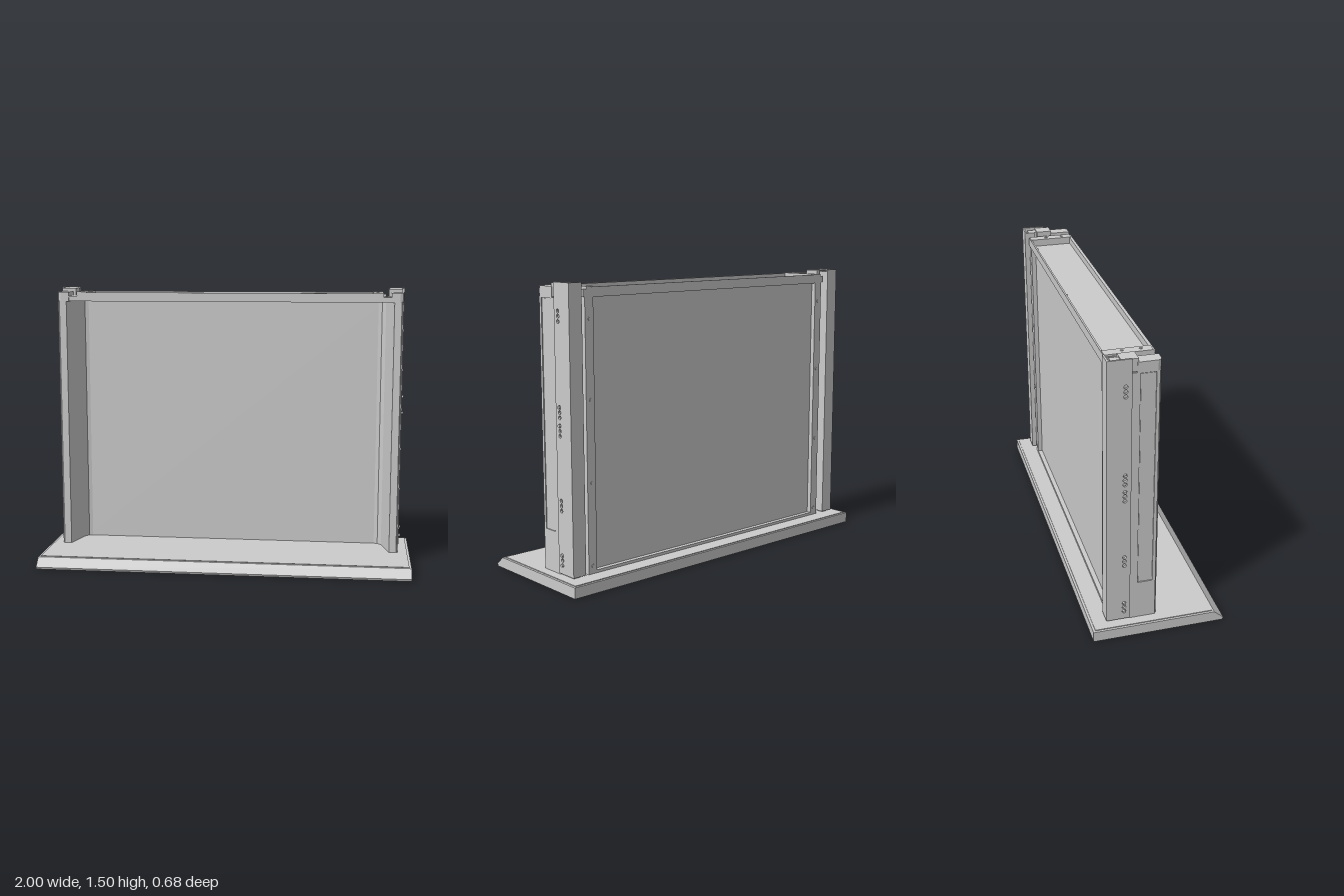
import * as THREE from 'three';

const material = new THREE.MeshStandardMaterial({ color: 0xcccccc });

// Box from its limits on each axis
function box(x0, x1, y0, y1, z0, z1) {
  return new THREE.BoxGeometry(x1 - x0, y1 - y0, z1 - z0)
    .translate((x0 + x1) / 2, (y0 + y1) / 2, (z0 + z1) / 2);
}

// Plan outline of [x, z] points, raised from y0 to y1
function plan(points, y0, y1) {
  const shape = new THREE.Shape(points.map(([x, z]) => new THREE.Vector2(x, -z)));
  return new THREE.ExtrudeGeometry(shape, { depth: y1 - y0, bevelEnabled: false })
    .rotateX(-Math.PI / 2).translate(0, y0, 0);
}

// Side outline in (z, y), extruded inward from x = outer
function side(shape, outer, thickness) {
  return new THREE.ExtrudeGeometry(shape, { depth: thickness, bevelEnabled: false, curveSegments: 8 })
    .rotateY(-Math.PI / 2).translate(outer, 0, 0);
}

function outline(points) {
  return new THREE.Shape(points.map(([a, b]) => new THREE.Vector2(a, b)));
}

function rect(z0, z1, y0, y1) {
  return outline([[z0, y0], [z1, y0], [z1, y1], [z0, y1]]);
}

// Mirrored copy across x with the winding put right
function mirrored(geometry) {
  const g = geometry.index ? geometry.toNonIndexed() : geometry.clone();
  g.scale(-1, 1, 1);
  for (const attribute of Object.values(g.attributes)) {
    const { array, itemSize: n } = attribute;
    for (let i = 0; i < array.length; i += 3 * n) {
      for (let k = 0; k < n; k++) {
        const keep = array[i + n + k];
        array[i + n + k] = array[i + 2 * n + k];
        array[i + 2 * n + k] = keep;
      }
    }
  }
  return g;
}

export function createModel() {
  const root = new THREE.Group();
  root.name = 'displayFrame';
  const add = (name, geometry) => {
    const mesh = new THREE.Mesh(geometry, material);
    mesh.name = name;
    root.add(mesh);
  };
  const pair = (name, geometry) => {
    add(name + 'Left', geometry);
    add(name + 'Right', mirrored(geometry));
  };

  // Base plate with sloped front edge and a thin raised deck
  add('base', side(outline([
    [-0.34, 0], [0.335, 0], [0.34, 0.012], [0.29, 0.056], [-0.34, 0.056],
  ]), 1, 2));
  add('baseDeck', box(-0.988, 0.988, 0.05, 0.06, -0.328, 0.28));

  // Back panel and its bottom rail
  add('backPanel', box(-0.845, 0.845, 0.056, 1.425, -0.215, -0.185));
  add('bottomRail', box(-0.79, 0.79, 0.056, 0.075, -0.24, -0.21));

  // Top channel: floor with front and back lips
  add('topFloor', box(-0.835, 0.835, 1.422, 1.435, -0.24, -0.004));
  add('topFrontLip', box(-0.83, 0.83, 1.422, 1.47, -0.016, 0));
  add('topBackLip', box(-0.83, 0.83, 1.422, 1.47, -0.243, -0.234));
  for (const x of [-0.72, 0, 0.72]) {
    add('topScrew', new THREE.CylinderGeometry(0.007, 0.007, 0.006, 12).translate(x, 1.437, -0.22));
  }

  // Pillars: slanted inner wall, front column and rear flange in one section
  pair('pillar', plan([
    [0.89, 0], [0.928, 0], [0.932, -0.004], [0.932, -0.14], [0.87, -0.14],
    [0.845, -0.2], [0.84, -0.24], [0.79, -0.24], [0.79, -0.19], [0.83, -0.18], [0.85, -0.155],
  ], 0.056, 1.425));

  // Outer skin framing a shallow recess
  const skin = rect(-0.14, -0.008, 0.06, 1.42);
  skin.holes.push(rect(-0.1, -0.024, 0.27, 1.415));
  pair('sideSkin', side(skin, 0.938, 0.008));
  pair('sideInset', box(0.93, 0.935, 0.275, 1.412, -0.097, -0.027));

  // Rear posts: drilled side plate, back plate, inner flange and core
  const plate = rect(-0.26, -0.14, 0.07, 1.495);
  const holes = [1.36, 1.335, 1.31, 0.9, 0.875, 0.85, 0.81, 0.785, 0.76,
    0.44, 0.415, 0.39, 0.165, 0.14, 0.115];
  for (const y of holes) {
    plate.holes.push(new THREE.Path().absarc(-0.17, y, 0.01, 0, Math.PI * 2, true));
  }
  pair('postSide', side(plate, 0.947, 0.01));
  pair('postBack', box(0.872, 0.94, 0.07, 1.495, -0.26, -0.25));
  pair('postInnerFlange', box(0.872, 0.882, 0.07, 1.485, -0.252, -0.2));
  pair('postCore', box(0.895, 0.932, 0.056, 1.46, -0.24, -0.135));
  for (const y of [0.9, 0.81, 0.165, 0.115]) {
    pair('postScrew', new THREE.CylinderGeometry(0.008, 0.008, 0.022, 12)
      .rotateZ(Math.PI / 2).translate(0.944, y, -0.17));
  }

  // Caps on the pillars, rounded at the outer front corner
  pair('pillarCap', plan([
    [0.875, 0.002], [0.92, 0.002], [0.934, -0.004], [0.94, -0.018], [0.94, -0.115], [0.875, -0.115],
  ], 1.42, 1.472));
  pair('capBridge', box(0.825, 0.88, 1.422, 1.45, -0.115, 0));
  pair('capBlock', box(0.862, 0.937, 1.425, 1.49, -0.19, -0.108));
  pair('postPlug', box(0.885, 0.925, 1.45, 1.483, -0.235, -0.185));

  // Corner brackets at the ends of the top channel
  pair('cornerBracket', box(0.78, 0.832, 1.425, 1.473, -0.24, -0.008));
  pair('bracketTab', box(0.825, 0.85, 1.425, 1.46, -0.242, -0.19));
  for (const z of [-0.15, -0.06]) {
    pair('bracketScrew', new THREE.CylinderGeometry(0.008, 0.008, 0.006, 12).translate(0.803, 1.473, z));
  }

  // Screws along the rear flanges
  for (const y of [0.1, 0.52, 0.93, 1.32]) {
    pair('flangeScrew', new THREE.CylinderGeometry(0.009, 0.009, 0.006, 12)
      .rotateX(Math.PI / 2).translate(0.813, y, -0.241));
  }

  return root;
}
